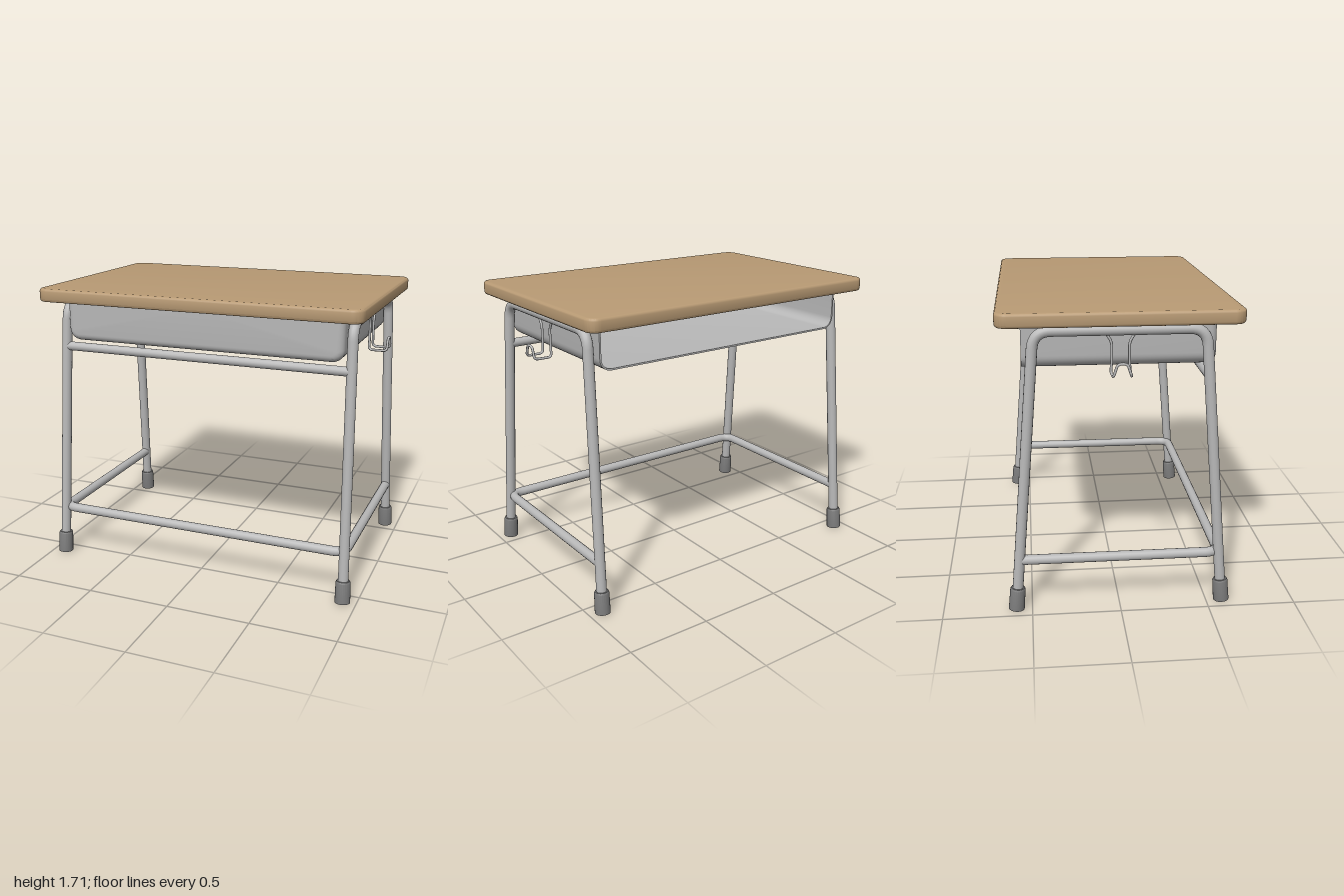
import * as THREE from 'three';
import { mergeVertices, toCreasedNormals } from 'three/addons/utils/BufferGeometryUtils.js';

const wood = new THREE.MeshStandardMaterial({ color: 0xb89a74 });
wood.name = 'wood';
const metal = new THREE.MeshStandardMaterial({ color: 0xb8b8b8 });
metal.name = 'greyMetal';
const sheet = new THREE.MeshStandardMaterial({ color: 0xb8b8b8, side: THREE.DoubleSide });
sheet.name = 'greySheet';
const rubber = new THREE.MeshStandardMaterial({ color: 0x7a7a7a });
rubber.name = 'darkRubber';

const V = (x, y, z) => new THREE.Vector3(x, y, z);

function part(name, geometry, material) {
  const mesh = new THREE.Mesh(geometry, material);
  mesh.name = name;
  return mesh;
}

// Bent pipe through the points, each inner corner rounded by r
function pipe(points, r, radius, segments, sides = 16) {
  const path = new THREE.CurvePath();
  let from = points[0];
  for (let i = 1; i < points.length - 1; i++) {
    const p = points[i];
    const cut = q => p.clone().add(q.clone().sub(p).setLength(Math.min(r, q.distanceTo(p) * 0.48)));
    const a = cut(points[i - 1]), b = cut(points[i + 1]);
    path.add(new THREE.LineCurve3(from, a));
    path.add(new THREE.QuadraticBezierCurve3(a, p, b));
    from = b;
  }
  path.add(new THREE.LineCurve3(from, points[points.length - 1]));
  return new THREE.TubeGeometry(path, segments, radius, sides);
}

// Centre line of a splayed leg at height y
const legX = y => 0.921 - 0.021 * y;
const legZ = y => 0.589 - 0.082 * y;

// Rounded board with softened edges
function tabletop() {
  const b = 0.016, w = 0.98 - b, d = 0.655 - b, r = 0.05;
  const s = new THREE.Shape();
  s.moveTo(-w + r, -d);
  s.absarc(w - r, -d + r, r, -Math.PI / 2, 0);
  s.absarc(w - r, d - r, r, 0, Math.PI / 2);
  s.absarc(-w + r, d - r, r, Math.PI / 2, Math.PI);
  s.absarc(-w + r, -d + r, r, Math.PI, Math.PI * 1.5);
  const g = new THREE.ExtrudeGeometry(s, {
    depth: 0.078 - 2 * b, bevelThickness: b, bevelSize: b, bevelSegments: 3, curveSegments: 8,
  });
  g.rotateX(-Math.PI / 2).translate(0, 1.633 + b, 0);
  return toCreasedNormals(g, 0.6);
}

// Sheet tray, open at the back: inner skin, rear rim, outer skin, rounded front
function tray() {
  const top = 1.634, N = 8, t = 0.01, f = 0.04, back = -0.523, front = 0.523;
  const profile = inset => {
    const w = 0.853 - inset, y0 = 1.388 + inset, r = Math.max(0.07 - inset, 0.015);
    const pts = [[-w, top]];
    for (const [cx, start] of [[-w + r, Math.PI], [w - r, Math.PI * 1.5]])
      for (let i = 0; i <= N; i++) {
        const a = start + (i / N) * Math.PI / 2;
        pts.push([cx + r * Math.cos(a), y0 + r + r * Math.sin(a)]);
      }
    pts.push([w, top]);
    return pts;
  };
  const fillet = extra => {
    const rings = [];
    for (let i = 0; i <= 6; i++) {
      const a = (i / 6) * Math.PI / 2;
      rings.push([front - f + (f - extra) * Math.sin(a), f - (f - extra) * Math.cos(a)]);
    }
    return rings;
  };
  const rings = [...fillet(t).reverse(), [back, t], [back, 0], ...fillet(0)]
    .map(([z, inset]) => profile(inset).map(([x, y]) => [x, y, z]));
  const point = z => rings[0].map(() => [0, top, z]);
  rings.unshift(point(front - t));
  rings.push(point(front));

  const n = rings[0].length, index = [];
  for (let i = 0; i < rings.length - 1; i++)
    for (let j = 0; j < n - 1; j++) {
      const a = i * n + j, d = a + n;
      if (i > 0) index.push(a, a + 1, d);
      if (i < rings.length - 2) index.push(a + 1, d + 1, d);
      if (i === 0) index.push(a, d + 1, d);
      else if (i === rings.length - 2) continue;
    }
  // the first cap needs only its fan triangles
  const g = new THREE.BufferGeometry();
  g.setAttribute('position', new THREE.Float32BufferAttribute(rings.flat(2), 3));
  const clean = [];
  for (let k = 0; k < index.length; k += 3) {
    const [a, b, c] = index.slice(k, k + 3);
    if (Math.min(a, b, c) < n && [a, b, c].filter(v => v < n).length > 1) continue;
    clean.push(a, b, c);
  }
  // drop the doubled fan faces
  const seen = new Set();
  const faces = [];
  for (let k = 0; k < clean.length; k += 3) {
    const key = clean.slice(k, k + 3).map(v => (v < n ? 0 : v)).sort((p, q) => p - q).join();
    if (!seen.has(key)) faces.push(...clean.slice(k, k + 3));
    seen.add(key);
  }
  g.setIndex(faces);
  return toCreasedNormals(mergeVertices(g), 0.6);
}

// Rubber cap with a chamfered upper rim
function foot() {
  const profile = [[0, 0], [0.045, 0], [0.043, 0.122], [0.038, 0.132], [0.028, 0.132]];
  const g = new THREE.LatheGeometry(profile.map(p => new THREE.Vector2(...p)), 24);
  return toCreasedNormals(g, 0.5);
}

export function createModel() {
  const desk = new THREE.Group();
  desk.name = 'schoolDesk';
  desk.add(part('tabletop', tabletop(), wood), part('bookTray', tray(), sheet));

  const footGeometry = foot();
  for (const s of [1, -1]) {
    const side = s > 0 ? 'left' : 'right';

    // Front and back leg bent from one pipe
    const leg = [[0.03, 1], [1.6, 1], [1.6, -1], [0.03, -1]]
      .map(([y, k]) => V(s * legX(y), y, k * legZ(y)));
    desk.add(part(side + 'LegFrame', pipe(leg, 0.095, 0.03, 200), metal));

    // Feet aligned with the splay of the legs
    for (const k of [1, -1]) {
      const cap = part(side + (k > 0 ? 'Front' : 'Back') + 'Foot', footGeometry, rubber);
      cap.position.set(s * legX(0), 0.004, k * legZ(0));
      cap.quaternion.setFromUnitVectors(V(0, 1, 0), V(-0.021 * s, 1, -0.082 * k).normalize());
      desk.add(cap);
    }

    // Bag hook: two wires drop from the bar, run outward and meet in an arch
    const half = [[0.888, 1.585, 0.078], [0.888, 1.535, 0.047], [0.888, 1.43, 0.047],
      [0.888, 1.373, 0.052], [0.992, 1.373, 0.048], [0.992, 1.443, 0.026]];
    const wire = [...half, ...half.slice().reverse().map(([x, y, z]) => [x, y, -z])]
      .map(([x, y, z]) => V(s * x, y, z));
    desk.add(part(side + 'BagHook', pipe(wire, 0.022, 0.0075, 160, 8), metal));
  }

  // Straight rail below the tray front
  const railY = 1.34, rx = legX(railY), rz = legZ(railY);
  desk.add(part('upperFrontRail', pipe([V(-rx, railY, rz), V(rx, railY, rz)], 0, 0.027, 1), metal));

  // Lower stretcher running along both sides and the front
  const y = 0.303, x = legX(y), z = legZ(y);
  const stretcher = [V(-x, y, -z), V(-x, y, z), V(x, y, z), V(x, y, -z)];
  desk.add(part('lowerStretcher', pipe(stretcher, 0.08, 0.028, 200), metal));
  return desk;
}
